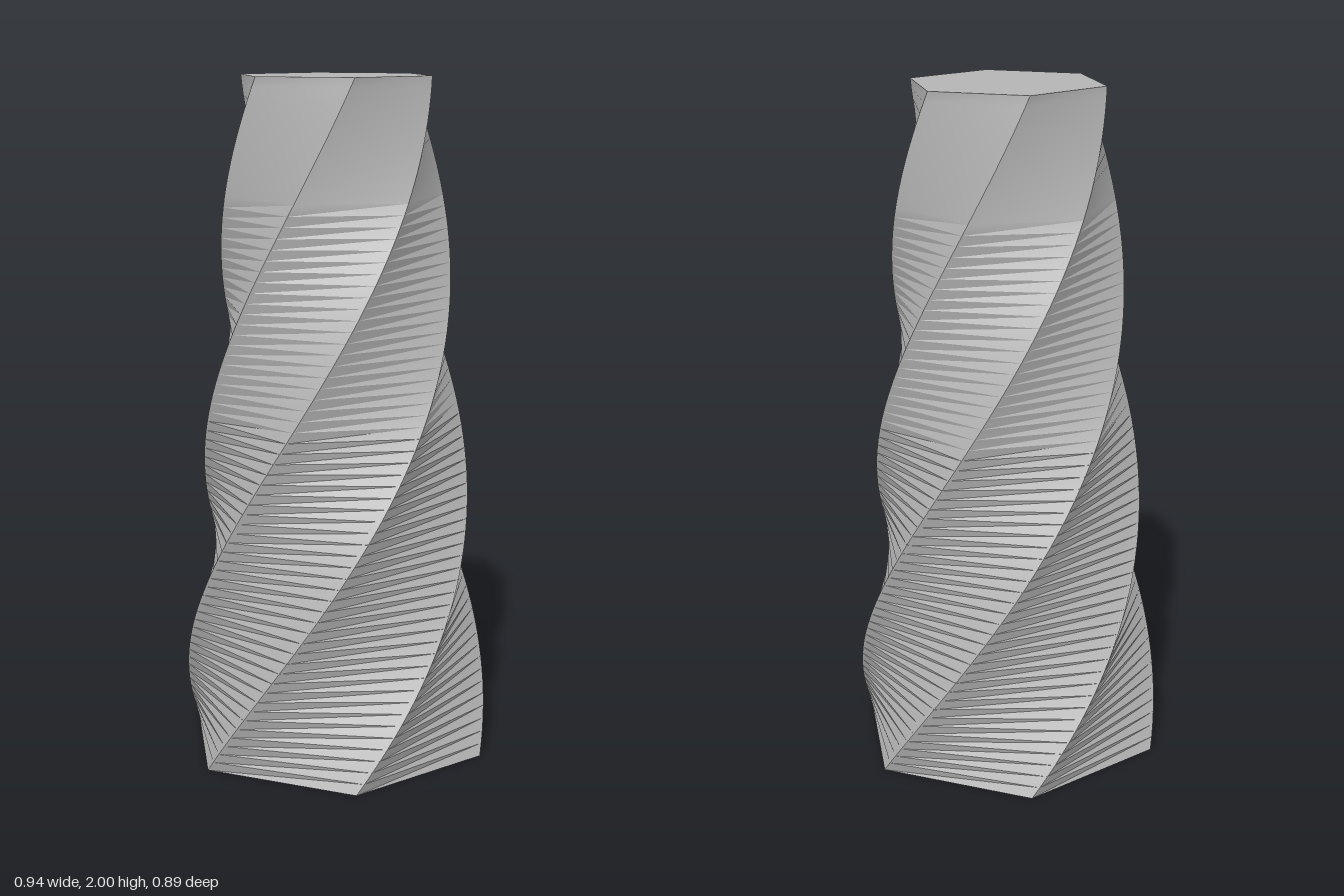
import * as THREE from 'three';
import { toCreasedNormals } from 'three/addons/utils/BufferGeometryUtils.js';

const HEIGHT = 2;
const BOTTOM_RADIUS = 0.47;
const TOP_RADIUS = 0.29;
const SIDES = 6;
const LAYERS = 64;
const TWIST = 3.2; // radians from foot to top

// Turns every layer about the y axis in proportion to its height
function twist(geometry, angle, height) {
  const up = new THREE.Vector3(0, 1, 0);
  const position = geometry.attributes.position;
  const p = new THREE.Vector3();
  for (let i = 0; i < position.count; i++) {
    p.fromBufferAttribute(position, i);
    p.applyAxisAngle(up, angle * p.y / height);
    position.setXYZ(i, p.x, p.y, p.z);
  }
  return geometry;
}

export function createModel() {
  const group = new THREE.Group();
  group.name = 'twistedTower';

  const stone = new THREE.MeshStandardMaterial({ color: 0xb4b4b4 });
  stone.name = 'light grey';

  // Tapered hexagonal column, corners on the x axis at the foot
  const column = new THREE.CylinderGeometry(
    TOP_RADIUS, BOTTOM_RADIUS, HEIGHT, SIDES, LAYERS, false, Math.PI / 6);
  column.translate(0, HEIGHT / 2, 0);
  twist(column, TWIST, HEIGHT);

  // The wider lower layers stay faceted, the narrow upper ones are smooth
  const tower = new THREE.Mesh(toCreasedNormals(column, Math.PI / 6), stone);
  tower.name = 'twistedColumn';
  group.add(tower);

  return group;
}
